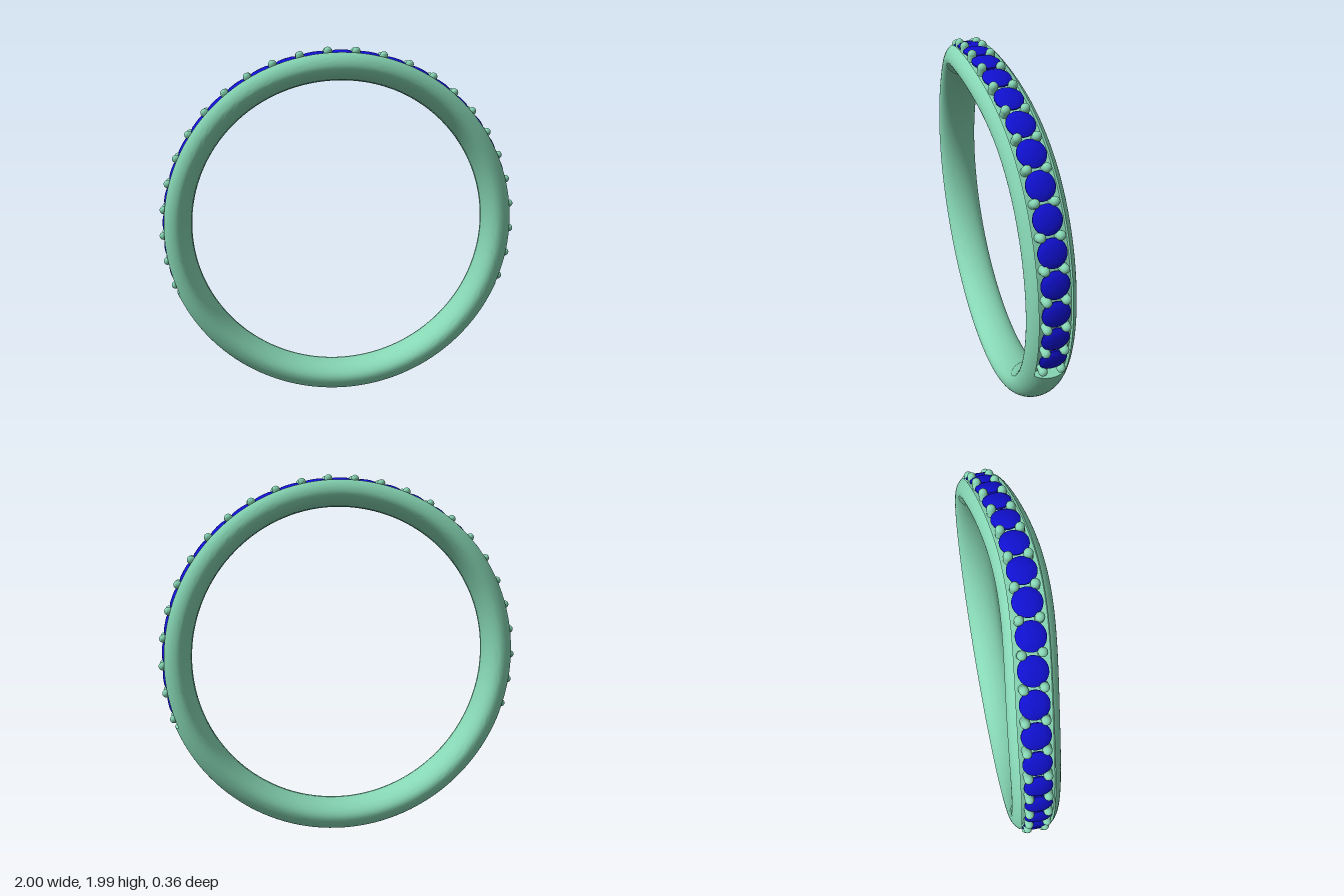
import * as THREE from 'three';
import { toCreasedNormals } from 'three/addons/utils/BufferGeometryUtils.js';

const CY = 0.995;                    // height of the ring's axis
const HALF = 0.117;                  // half width of the band
const MID = 0.9, OUT = 0.095, IN = 0.071; // widest radius, outer bulge, inner bulge
const SLOT = 0.08, FLOOR = 0.946;    // half width and floor radius of the stone channel
const STEP = THREE.MathUtils.degToRad(8.6);
const SLOT_END = THREE.MathUtils.degToRad(110.3);

// Sideways sweep of the band; angle a is measured from the top
const sway = (a) => -0.035 + 0.03 * Math.cos(a) + 0.065 * Math.exp(-((a / 0.58) ** 2));

// Closed cross-section as [radius, z], with or without the channel
function section(cut) {
  const pts = [];
  const tc = Math.acos(SLOT / HALF);
  const arc = (t0, t1, n, bulge, floor) => {
    for (let i = 0; i <= n; i++) {
      const t = t0 + (t1 - t0) * i / n;
      pts.push([floor ? FLOOR : MID + bulge * Math.sin(t), HALF * Math.cos(t)]);
    }
  };
  arc(0, tc, 8, OUT, false);
  arc(tc, Math.PI - tc, 10, OUT, cut);
  arc(Math.PI - tc, Math.PI, 8, OUT, false);
  arc(Math.PI, Math.PI * 2, 22, IN, false);
  return pts;
}

function bandGeometry() {
  const plain = section(false), cut = section(true);
  const rings = [];
  const add = (a, profile) => rings.push(profile.map(([r, z]) =>
    new THREE.Vector3(r * Math.sin(a), CY + r * Math.cos(a), z + sway(a))));
  const span = (a0, a1, n, profile) => {
    for (let i = 0; i <= n; i++) add(a0 + (a1 - a0) * i / n, profile);
  };
  // The doubled rings at the ends of the channel form its end walls
  span(-Math.PI, -SLOT_END, 36, plain);
  span(-SLOT_END, SLOT_END, 132, cut);
  span(SLOT_END, Math.PI, 36, plain);

  const pos = [];
  const tri = (a, b, c) => {
    if (new THREE.Triangle(a, b, c).getArea() > 1e-9) {
      for (const p of [a, b, c]) pos.push(p.x, p.y, p.z);
    }
  };
  const n = plain.length;
  for (let i = 0; i < rings.length - 1; i++) {
    for (let j = 0; j < n; j++) {
      const k = (j + 1) % n, p = rings[i], q = rings[i + 1];
      tri(p[j], q[j], q[k]);
      tri(p[j], q[k], p[k]);
    }
  }
  const g = new THREE.BufferGeometry();
  g.setAttribute('position', new THREE.Float32BufferAttribute(pos, 3));
  return toCreasedNormals(g, 0.6);
}

export function createModel() {
  const model = new THREE.Group();
  model.name = 'ring';
  const metal = new THREE.MeshStandardMaterial({ color: 0x86d6b4 });
  const blue = new THREE.MeshStandardMaterial({ color: 0x1010d0 });
  const place = (geo, mat, name, a, r, dz) => {
    const m = new THREE.Mesh(geo, mat);
    m.name = name;
    m.position.set(r * Math.sin(a), CY + r * Math.cos(a), sway(a) + dz);
    m.rotation.z = -a;
    model.add(m);
  };

  const band = new THREE.Mesh(bandGeometry(), metal);
  band.name = 'band';
  model.add(band);

  // Round cut stones: pavilion, girdle, crown and table
  const profile = [[0, -0.05], [0.066, -0.008], [0.068, -0.004], [0.068, 0.001],
    [0.056, 0.009], [0.038, 0.015], [0, 0.017]].map(([x, y]) => new THREE.Vector2(x, y));
  const stone = toCreasedNormals(new THREE.LatheGeometry(profile, 24).toNonIndexed(), 0.3);
  for (let i = -12; i <= 12; i++) place(stone, blue, 'stone', i * STEP, 0.968, 0);

  // Pairs of round-headed prongs between the stones
  const prong = new THREE.CapsuleGeometry(0.022, 0.03, 6, 14);
  prong.translate(0, -0.015, 0);
  for (let i = -13; i <= 12; i++) {
    for (const side of [-1, 1]) place(prong, metal, 'prong', (i + 0.5) * STEP, 0.978, side * 0.045);
  }
  return model;
}
